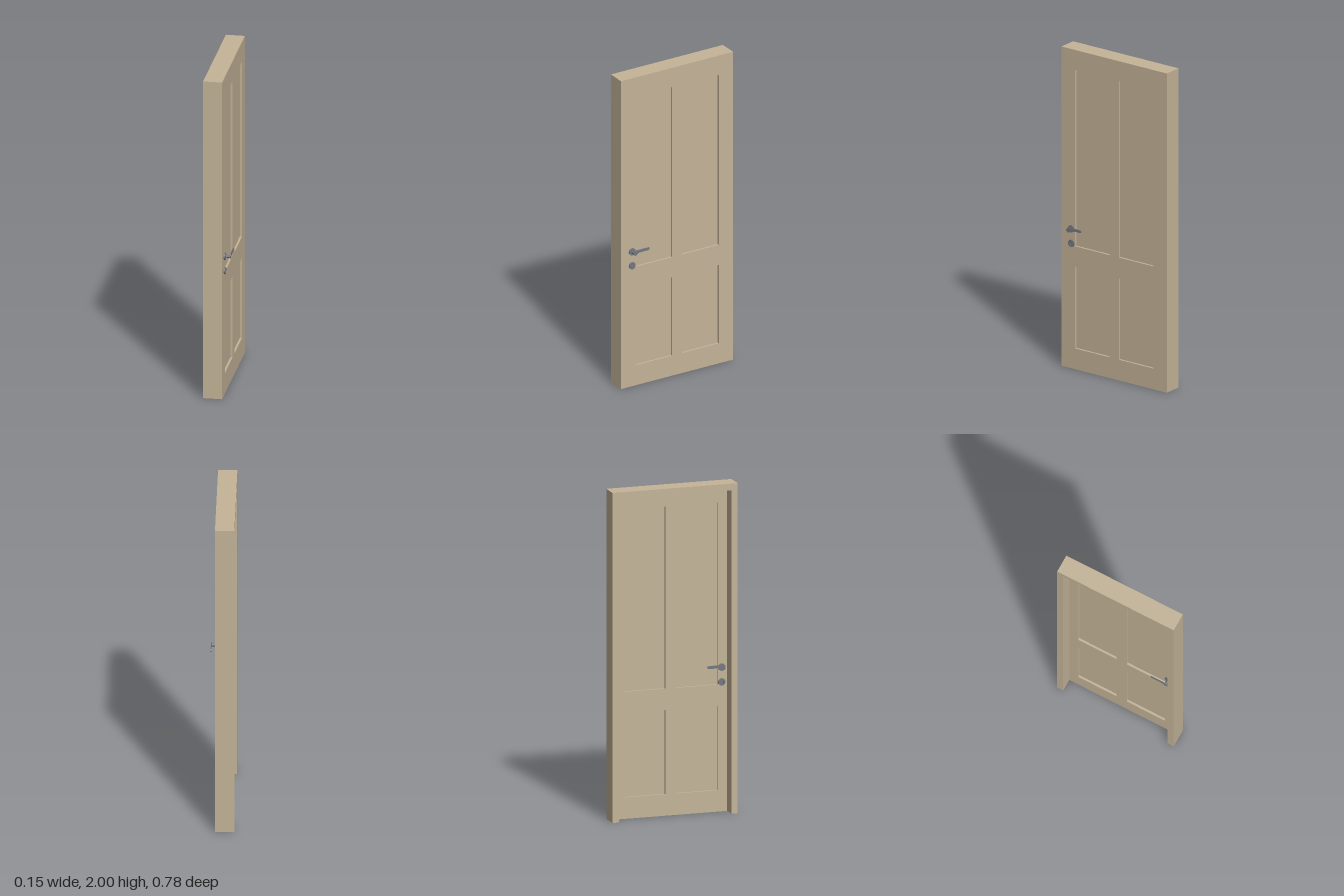
import * as THREE from 'three';

const wood = new THREE.MeshStandardMaterial({ color: 0xc4b498 });
const metal = new THREE.MeshStandardMaterial({ color: 0x74787e });

const W = 0.39;            // half width along z
const H = 2;               // height
const BACK = -0.079;       // rear of the frame
const INNER = -0.003;      // rear of the leaf
const FACE = 0.035;        // face of the leaf
const HANDLE_Z = 0.315;

// Extrudes a (z, y) outline so that it fills xMin..xMax
function slab(name, shape, xMin, xMax, material, curveSegments = 12) {
  const geometry = new THREE.ExtrudeGeometry(shape, { depth: xMax - xMin, bevelEnabled: false, curveSegments });
  geometry.rotateY(-Math.PI / 2);
  const mesh = new THREE.Mesh(geometry, material);
  mesh.name = name;
  mesh.position.x = xMax;
  return mesh;
}

function outline(points, Type = THREE.Shape) {
  return new Type(points.map(([z, y]) => new THREE.Vector2(z, y)));
}

function disc(name, radius, xA, xB, y) {
  const geometry = new THREE.CylinderGeometry(radius, radius, Math.abs(xB - xA), 24);
  geometry.rotateZ(Math.PI / 2);
  const mesh = new THREE.Mesh(geometry, metal);
  mesh.name = name;
  mesh.position.set((xA + xB) / 2, y, HANDLE_Z);
  return mesh;
}

// Lever outline: a bar that hooks down around the spindle
function leverShape() {
  const s = new THREE.Shape();
  s.moveTo(0.224, 0.878);
  s.lineTo(0.284, 0.878);
  s.quadraticCurveTo(0.298, 0.877, 0.303, 0.868);
  s.quadraticCurveTo(0.314, 0.858, 0.324, 0.869);
  s.bezierCurveTo(0.33, 0.882, 0.318, 0.895, 0.3, 0.895);
  s.lineTo(0.224, 0.895);
  s.absarc(0.224, 0.8865, 0.0085, Math.PI / 2, Math.PI * 1.5, false);
  return s;
}

// Handle and lock plate; dir is +1 or -1 along x from the given surface
function makeHandle(surface, dir) {
  const group = new THREE.Group();
  group.name = dir > 0 ? 'outerHandle' : 'innerHandle';
  const at = d => surface + dir * d;
  const plate = (name, shape, d0, d1) =>
    slab(name, shape, Math.min(at(d0), at(d1)), Math.max(at(d0), at(d1)), metal);

  group.add(disc('handleRosette', 0.022, at(0), at(0.008), 0.875));
  group.add(disc('spindle', 0.008, at(0.008), at(0.038), 0.875));
  group.add(plate('lever', leverShape(), 0.035, 0.04));

  // Lock rosette with an upright slot and the cylinder inside it
  const ring = new THREE.Shape().absarc(HANDLE_Z, 0.785, 0.022, 0, Math.PI * 2, false);
  const slot = (Type, r, h) => {
    const p = new Type();
    p.absarc(HANDLE_Z, 0.785 + h, r, 0, Math.PI, false);
    p.absarc(HANDLE_Z, 0.785 - h, r, Math.PI, Math.PI * 2, false);
    p.closePath();
    return p;
  };
  ring.holes.push(slot(THREE.Path, 0.008, 0.006));
  group.add(plate('lockRosette', ring, 0, 0.008));
  group.add(plate('lockCylinder', slot(THREE.Shape, 0.008, 0.006), 0, 0.004));
  return group;
}

export function createModel() {
  const model = new THREE.Group();
  model.name = 'door';

  // Frame: two jambs and a head, open at the bottom
  const t = 0.04;
  model.add(slab('frame', outline([
    [-W, 0], [-W + t, 0], [-W + t, H - t], [W - t, H - t],
    [W - t, 0], [W, 0], [W, H], [-W, H],
  ]), BACK, INNER, wood));

  // Leaf with four openings, each filled by a thin sunken panel
  const leaf = outline([[-W, 0], [W, 0], [W, H], [-W, H]]);
  const recess = 0.013;
  for (const [z0, z1] of [[-0.29, -0.035], [0.035, 0.29]]) {
    for (const [y0, y1] of [[0.13, 0.64], [0.77, 1.875]]) {
      const corners = [[z0, y0], [z1, y0], [z1, y1], [z0, y1]];
      leaf.holes.push(outline(corners, THREE.Path));
      model.add(slab('panel', outline(corners), INNER + recess, FACE - recess, wood));
    }
  }
  model.add(slab('leaf', leaf, INNER, FACE, wood));

  model.add(makeHandle(FACE, 1), makeHandle(INNER, -1));
  return model;
}
